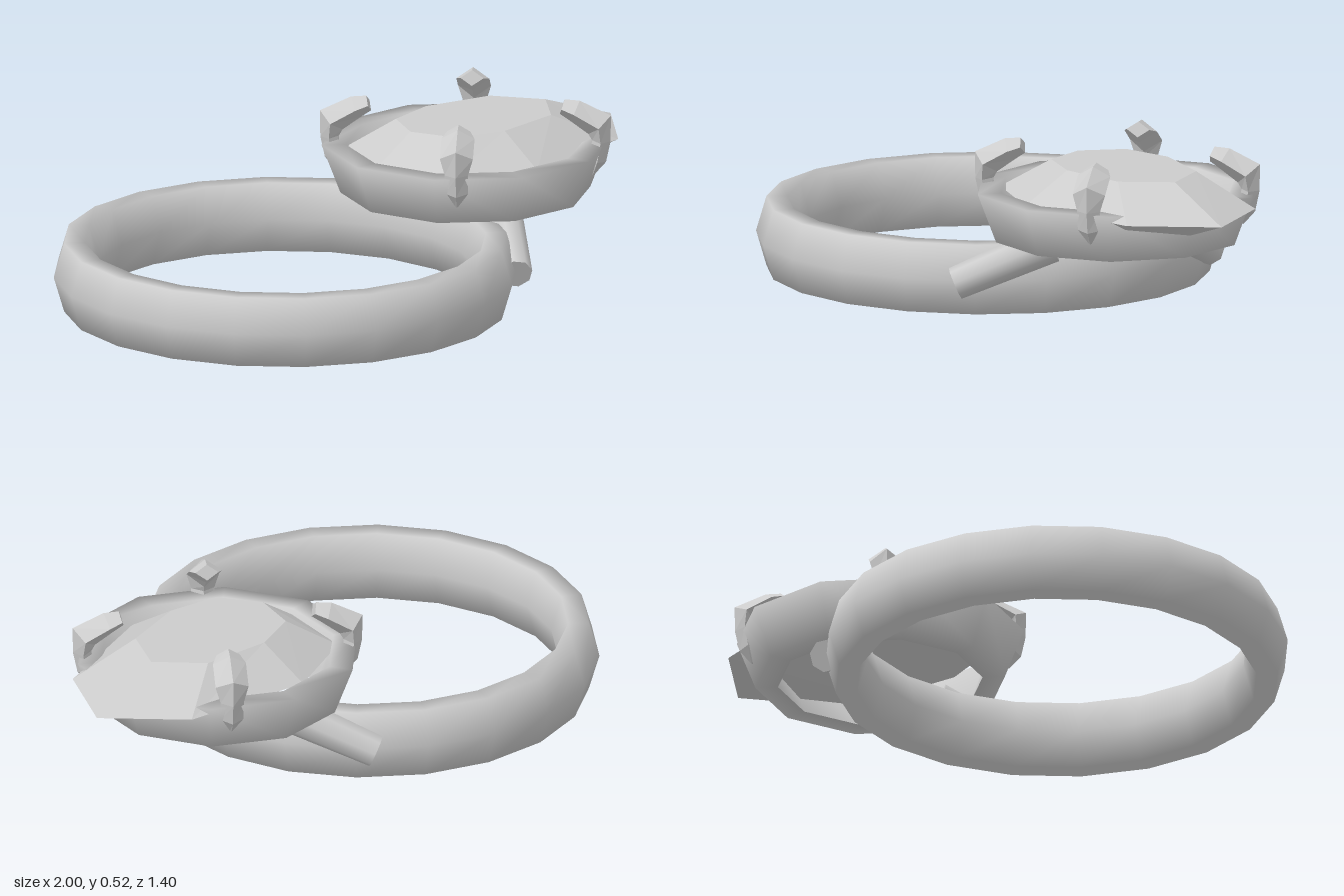
import * as THREE from 'three';

// Skin a stack of equal-length rings (counterclockwise seen from the far end), flat shaded, both ends capped.
function loft(rings) {
  const n = rings[0].length, index = [];
  rings.slice(1).forEach((_, i) => {
    for (let j = 0; j < n; j++) {
      const a = i * n + j, b = i * n + (j + 1) % n;
      index.push(a, b, b + n, a, b + n, a + n);
    }
  });
  const top = (rings.length - 1) * n;
  for (let j = 1; j < n - 1; j++) index.push(0, j + 1, j, top, top + j, top + j + 1);
  const geo = new THREE.BufferGeometry();
  geo.setAttribute('position', new THREE.Float32BufferAttribute(rings.flat(2), 3));
  geo.setIndex(index);
  const flat = geo.toNonIndexed();
  flat.computeVertexNormals();
  return flat;
}

export function createModel() {
  const group = new THREE.Group();
  const silver = new THREE.MeshStandardMaterial({ color: 0xcccccc });
  silver.name = 'silver';
  const cx = 0.42; // centre of the setting

  const add = (name, geo) => {
    const mesh = new THREE.Mesh(geo, silver);
    mesh.name = name;
    group.add(mesh);
    return mesh;
  };

  // Finger band: six-sided tube stretched to a tall section
  const band = new THREE.TorusGeometry(0.637, 0.063, 6, 20);
  band.rotateX(Math.PI / 2);
  band.scale(1, 1.96, 1);
  add('band', band).position.set(-0.3, 0.107, 0);

  // Flared open basket around the stone
  const profile = [[0.31, 0.23], [0.378, 0.23], [0.435, 0.38], [0.362, 0.38], [0.31, 0.23]]
    .map(([r, y]) => new THREE.Vector2(r, y));
  add('basket', new THREE.LatheGeometry(profile, 10, Math.PI / 2)).position.x = cx;

  // Faceted stone with one drawn-out point
  const outline = (half, y) => [
    ...half.map(([x, z]) => [x, y, -z]),
    ...half.slice(1, -1).reverse().map(([x, z]) => [x, y, z]),
  ];
  const girdle = outline([[1, 0], [0.83, 0.23], [0.42, 0.33], [0.14, 0.24], [0.06, 0]], 0.36);
  const table = outline([[0.74, 0], [0.64, 0.14], [0.42, 0.18], [0.26, 0.135], [0.2, 0]], 0.452);
  const culet = girdle.map(() => [0.43, 0.175, 0]);
  add('stone', loft([culet, girdle, table]));

  // Four claws: radius, height, half thickness, half width along a hooked path
  const path = [
    [0.385, 0.285, 0.004, 0.004], [0.4, 0.33, 0.025, 0.035], [0.41, 0.39, 0.028, 0.035],
    [0.405, 0.44, 0.045, 0.05], [0.33, 0.483, 0.035, 0.05], [0.292, 0.495, 0.024, 0.035],
  ];
  const clawRings = path.map(([r, y, h, w], i) => {
    const a = path[Math.max(i - 1, 0)], b = path[Math.min(i + 1, path.length - 1)];
    const t = new THREE.Vector2(b[0] - a[0], b[1] - a[1]).normalize();
    const dx = t.y * h, dy = -t.x * h;
    return [[r + dx, y + dy, 0], [r, y, -w], [r - dx, y - dy, 0], [r, y, w]];
  });
  const clawGeo = loft(clawRings);
  for (let k = 0; k < 4; k++) {
    const claw = add('claw', clawGeo);
    claw.position.x = cx;
    claw.rotation.y = Math.PI / 4 + k * Math.PI / 2;
  }

  // Shoulders joining the band to the underside of the basket
  for (const side of [1, -1]) {
    const from = new THREE.Vector3(0.225, 0.1, side * 0.455);
    const to = new THREE.Vector3(0.38, 0.225, side * 0.21);
    const dir = to.clone().sub(from);
    const shoulder = add('shoulder', new THREE.CylinderGeometry(0.06, 0.05, dir.length(), 8));
    shoulder.position.copy(from).add(to).multiplyScalar(0.5);
    shoulder.quaternion.setFromUnitVectors(new THREE.Vector3(0, 1, 0), dir.normalize());
  }

  return group;
}
